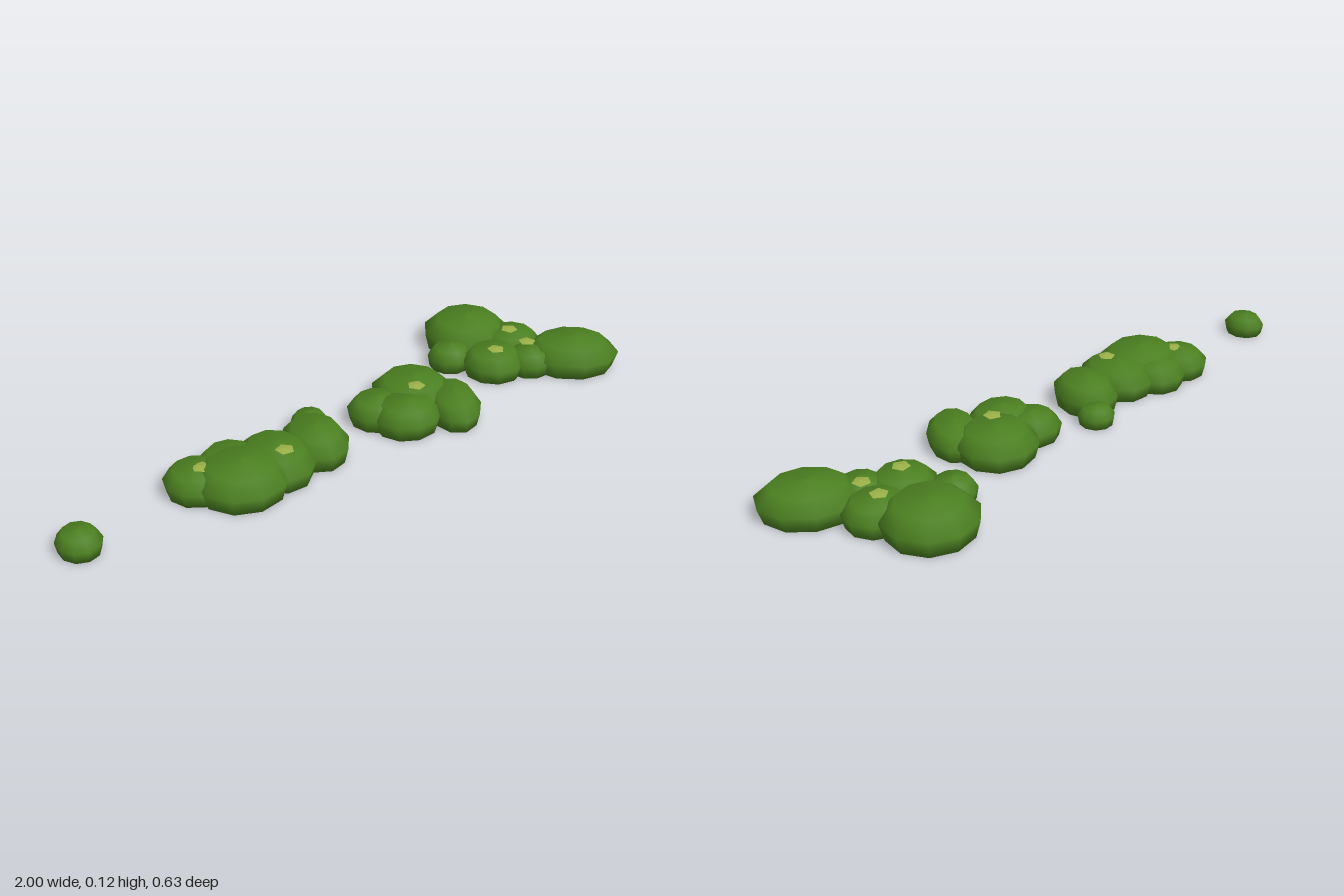
import * as THREE from 'three';

export function createModel() {
  const model = new THREE.Group();
  const moss = new THREE.MeshStandardMaterial({ color: 0x4b7f20 });
  moss.name = 'moss green';
  const pale = new THREE.MeshStandardMaterial({ color: 0x9ab048, side: THREE.DoubleSide });
  pale.name = 'pale sprout green';

  // Low cushion: flat base, narrow foot, bulging waist, flattened crown
  const profile = [[0.001, 0], [0.9, 0], [1, 0.48], [0.7, 0.87], [0.001, 1]]
    .map(([r, y]) => new THREE.Vector2(r, y));

  // Cushions per clump: x, z, radius x, radius z, height, turn
  const clumps = {
    stray: [[-0.935, 0.178, 0.065, 0.071, 0.07, 0]],
    leftClump: [
      [-0.54, 0.105, 0.097, 0.1, 0.087, 0],
      [-0.42, 0.09, 0.1, 0.104, 0.09, 0],
      [-0.43, 0.175, 0.145, 0.137, 0.107, 0],
      [-0.3, 0.146, 0.114, 0.135, 0.101, 0],
      [-0.15, 0.125, 0.1, 0.125, 0.103, -0.2],
      [-0.094, 0.005, 0.06, 0.06, 0.065, 0],
    ],
    middleClump: [
      [0.113, 0.07, 0.095, 0.093, 0.087, 0],
      [0.262, 0.05, 0.132, 0.134, 0.103, 0],
      [0.168, 0.15, 0.112, 0.103, 0.095, 0],
      [0.33, 0.175, 0.085, 0.13, 0.09, -0.45],
    ],
    rightClump: [
      [0.65, -0.17, 0.146, 0.145, 0.115, 0],
      [0.512, -0.08, 0.074, 0.072, 0.081, 0],
      [0.608, 0.03, 0.105, 0.103, 0.09, 0],
      [0.74, -0.04, 0.104, 0.1, 0.09, 0],
      [0.715, 0.085, 0.078, 0.077, 0.083, 0],
      [0.857, 0.132, 0.156, 0.127, 0.105, -0.5],
    ],
  };
  let n = 0;
  for (const [name, cushions] of Object.entries(clumps)) {
    const clump = new THREE.Group();
    clump.name = name;
    for (const [x, z, rx, rz, h, turn] of cushions) {
      const cushion = new THREE.Mesh(new THREE.LatheGeometry(profile, 10, n++ * 0.4), moss);
      cushion.name = 'mossCushion';
      cushion.position.set(x, 0, z);
      cushion.scale.set(rx, h, rz);
      cushion.rotation.y = turn;
      clump.add(cushion);
    }
    model.add(clump);
  }

  // Small five-sided sprouts on the crowns: x, top y, z
  const sprouts = [
    [-0.53, 0.091, 0.12], [-0.295, 0.105, 0.19], [0.235, 0.106, 0.105],
    [0.603, 0.096, 0.045], [0.73, 0.096, -0.04], [0.73, 0.09, 0.052],
  ];
  sprouts.forEach(([x, y, z], i) => {
    const sprout = new THREE.Mesh(new THREE.ConeGeometry(0.029, 0.006, 5, 1, true), pale);
    sprout.name = 'sprout';
    sprout.position.set(x, y - 0.003, z);
    sprout.rotation.y = i * 0.5;
    model.add(sprout);
  });
  return model;
}
